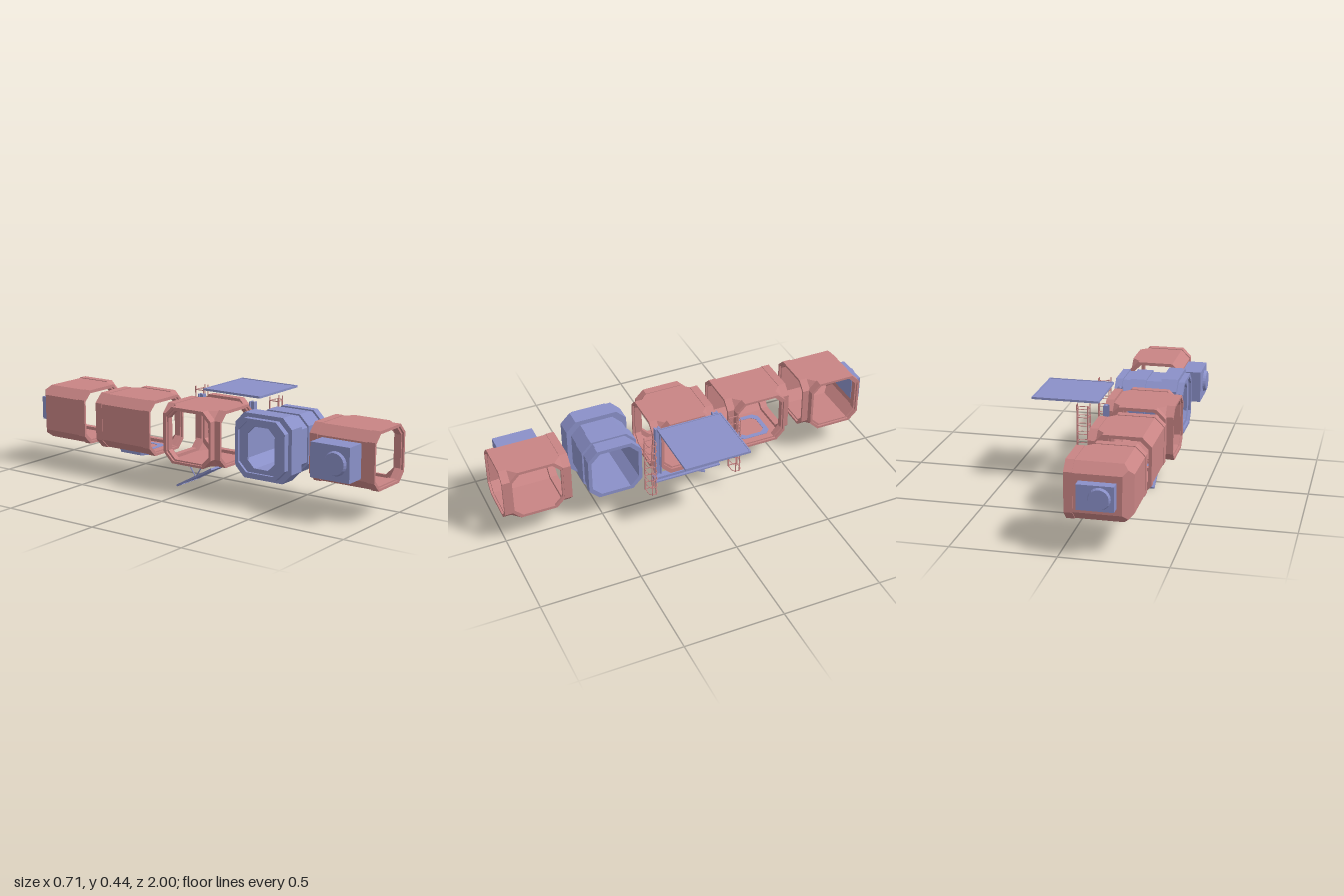
import * as THREE from 'three';
import { ConvexGeometry } from 'three/addons/geometries/ConvexGeometry.js';

const RED = new THREE.MeshStandardMaterial({ color: 0xc88484, flatShading: true, side: THREE.DoubleSide });
const BLUE = new THREE.MeshStandardMaterial({ color: 0x8a90c8, flatShading: true, side: THREE.DoubleSide });
const BLUE_FRONT = new THREE.MeshStandardMaterial({ color: 0x8a90c8, flatShading: true });
const MID = 0.284;   // height of the module axes
const H = 0.136;     // half size of a module body
const CUT = 0.045;   // corner cut
const TURN = { 'z+': 0, 'x+': Math.PI / 2, 'z-': Math.PI, 'x-': -Math.PI / 2 };

function add(parent, name, geo, mat, x = 0, y = 0, z = 0) {
  const m = new THREE.Mesh(geo, mat);
  m.name = name;
  m.position.set(x, y, z);
  parent.add(m);
  return m;
}
const box = (p, name, mat, w, h, d, x, y, z) => add(p, name, new THREE.BoxGeometry(w, h, d), mat, x, y, z);

// Rectangle outline with cut corners
function octagon(w, h, c, Type = THREE.Shape) {
  return new Type([[w, h - c], [w - c, h], [c - w, h], [-w, h - c], [-w, c - h], [c - w, -h], [w - c, -h], [w, c - h]]
    .map(([x, y]) => new THREE.Vector2(x, y)));
}
// Octagonal frame from z = 0 to z = depth
function ring(w, inner, depth, c = CUT, h = w, innerH = inner) {
  const s = octagon(w, h, c);
  s.holes.push(octagon(inner, innerH, c * 0.9, THREE.Path));
  return new THREE.ExtrudeGeometry(s, { depth, bevelEnabled: false });
}

// Cube with cut corners and bevelled closed edges, without its open sides
function shell(open) {
  const n = (x, y, z) => new THREE.Vector3(x, y, z);
  const planes = [];
  const closed = (x, z) => !open.includes(x ? (x > 0 ? 'x+' : 'x-') : (z > 0 ? 'z+' : 'z-'));
  for (const x of [-1, 0, 1]) for (const y of [-1, 0, 1]) for (const z of [-1, 0, 1]) {
    const k = Math.abs(x) + Math.abs(y) + Math.abs(z);
    if (k === 0) continue;
    if (k === 2 && ((x && !closed(x, 0)) || (z && !closed(0, z)))) continue;
    planes.push([n(x, y, z), k * H - (k > 1 ? CUT : 0)]);
  }
  const pts = [];
  for (let i = 0; i < planes.length; i++) for (let j = 0; j < i; j++) for (let k = 0; k < j; k++) {
    const [[a, da], [b, db], [c, dc]] = [planes[i], planes[j], planes[k]];
    const bc = b.clone().cross(c), det = a.dot(bc);
    if (Math.abs(det) < 1e-6) continue;
    const p = bc.multiplyScalar(da).add(c.clone().cross(a).multiplyScalar(db))
      .add(a.clone().cross(b).multiplyScalar(dc)).divideScalar(det);
    if (planes.every(([q, d]) => q.dot(p) < d + 1e-6) && !pts.some(q => q.distanceTo(p) < 1e-5)) pts.push(p);
  }
  const hull = new ConvexGeometry(pts).getAttribute('position');
  const kept = [], t = new THREE.Triangle(), nor = n(0, 0, 0);
  for (let i = 0; i < hull.count; i += 3) {
    t.setFromAttributeAndIndices(hull, i, i + 1, i + 2);
    t.getNormal(nor);
    const side = nor.x > 0.99 ? 'x+' : nor.x < -0.99 ? 'x-' : nor.z > 0.99 ? 'z+' : nor.z < -0.99 ? 'z-' : '';
    if (!open.includes(side)) kept.push(t.a.clone(), t.b.clone(), t.c.clone());
  }
  const g = new THREE.BufferGeometry().setFromPoints(kept);
  g.computeVertexNormals();
  return g;
}

// Habitat module with collars round its openings
function habitat(root, name, x, z, open, flush = '', tall = '') {
  const g = new THREE.Group();
  g.name = name;
  g.position.set(x, MID, z);
  root.add(g);
  add(g, 'moduleShell', shell(open), RED);
  for (const side of open) {
    const c = new THREE.Group();
    c.name = 'collar';
    c.rotation.y = TURN[side];
    g.add(c);
    if (side === flush) {
      add(c, 'openingFrame', ring(H, 0.122, 0.012), RED, 0, 0, H - 0.012);
      continue;
    }
    const hh = side === tall ? 0.15 : 0.139;
    add(c, 'collarRing', ring(0.138, 0.127, 0.04, CUT, hh, 0.127), RED, 0, 0, 0.131);
    add(c, 'collarLip', ring(0.13, 0.12, 0.03), RED, 0, 0, 0.131);
  }
  return g;
}

// Box with a round fan, pointing along +z
function fanUnit(root, w, h, d, r, shift, x, y, z, turn) {
  const g = new THREE.Group();
  g.name = 'fanUnit';
  g.position.set(x, y, z);
  g.rotation.y = turn;
  root.add(g);
  box(g, 'fanBox', BLUE, w, h, d, 0, 0, d / 2);
  add(g, 'fanDisc', new THREE.CylinderGeometry(r * 0.88, r, 0.016, 24), BLUE, shift, 0, d + 0.007).rotation.x = Math.PI / 2;
}

// Ladder with D-shaped hoops
function ladder(root, z) {
  const g = new THREE.Group();
  g.name = 'ladder';
  g.position.set(0.055, 0, z);
  root.add(g);
  const path = new THREE.CurvePath();
  const v = (x, zz) => new THREE.Vector3(x, 0, zz);
  path.add(new THREE.LineCurve3(v(0, -0.024), v(0.035, -0.024)));
  path.add(new THREE.CubicBezierCurve3(v(0.035, -0.024), v(0.067, -0.022), v(0.067, 0.022), v(0.035, 0.024)));
  path.add(new THREE.LineCurve3(v(0.035, 0.024), v(0, 0.024)));
  const hoop = new THREE.TubeGeometry(path, 18, 0.002, 5);
  for (let i = 0; i < 8; i++) {
    const y = 0.129 + i * 0.042;
    add(g, 'hoop', hoop, RED, 0, y, 0);
    box(g, 'rung', RED, 0.004, 0.004, 0.048, 0, y, 0);
  }
  for (const s of [-1, 1]) {
    box(g, 'rail', RED, 0.005, 0.317, 0.005, 0, 0.283, s * 0.024);
    box(g, 'cageBar', RED, 0.004, 0.317, 0.004, 0.058, 0.283, s * 0.01);
  }
}

// I-beam along z
function beam(parent, name, w, h, len) {
  const g = new THREE.Group();
  g.name = name;
  for (const s of [-1, 1]) box(g, 'flange', BLUE, w, 0.007, len, 0, s * (h / 2 - 0.0035), 0);
  box(g, 'web', BLUE, 0.009, h, len, 0, 0, 0);
  parent.add(g);
  return g;
}

// Flat panel with a raised rim
function rimmedPanel(parent, name, w, d, t) {
  const g = new THREE.Group();
  g.name = name;
  box(g, 'panel', BLUE, w, t * 0.5, d, 0, 0, 0);
  for (const s of [-1, 1]) {
    box(g, 'rim', BLUE, 0.007, t, d, s * (w / 2 - 0.0035), 0, 0);
    box(g, 'rim', BLUE, w, t, 0.007, 0, 0, s * (d / 2 - 0.0035));
  }
  parent.add(g);
  return g;
}

export function createModel() {
  const root = new THREE.Group();
  root.name = 'modularHabitat';

  // Four habitat modules
  habitat(root, 'frontModule', -0.104, 0.829, ['z+', 'z-', 'x+'], 'x+');
  habitat(root, 'crossModule', -0.173, 0.035, ['z+', 'z-', 'x+', 'x-'], '', 'x+');
  habitat(root, 'teeModule', -0.19, -0.38, ['z+', 'z-', 'x+']);
  habitat(root, 'cornerModule', -0.185, -0.802, ['z+', 'x+']);
  fanUnit(root, 0.205, 0.165, 0.103, 0.058, 0.03, -0.238, 0.284, 0.827, -Math.PI / 2);
  fanUnit(root, 0.17, 0.118, 0.05, 0.052, 0.02, -0.165, 0.284, -0.935, Math.PI);

  // Ribbed airlock tube along x
  const lock = new THREE.Group();
  lock.name = 'airlock';
  lock.position.set(0, 0.282, 0.435);
  root.add(lock);
  const ribs = [[-0.318, -0.288, 0.138], [-0.288, -0.203, 0.157], [-0.203, -0.12, 0.134],
    [-0.12, -0.037, 0.141], [-0.037, 0.003, 0.132], [0.003, 0.04, 0.139]];
  for (const [a, b, r] of ribs) {
    add(lock, 'tubeSection', ring(r, 0.121, b - a, 0.05), BLUE, a, 0, 0).rotation.y = Math.PI / 2;
  }
  add(lock, 'endWall', ring(0.124, 0.075, 0.012, 0.04, 0.124, 0.1), BLUE, -0.305, 0, 0).rotation.y = Math.PI / 2;
  add(lock, 'doorPanel', new THREE.PlaneGeometry(0.152, 0.202), BLUE_FRONT, -0.293, 0, 0).rotation.y = Math.PI / 2;

  // Floor beam and door posts of the cross module
  beam(root, 'floorBeam', 0.035, 0.032, 0.36).position.set(-0.0145, 0.116, 0.038);
  for (const z of [-0.12, 0.19]) {
    const post = beam(root, 'doorPost', 0.026, 0.03, 0.28);
    post.rotation.x = Math.PI / 2;
    post.position.set(-0.016, MID, z);
  }

  // Lowered ramp with its struts
  const ramp = rimmedPanel(root, 'ramp', 0.168, 0.24, 0.01);
  ramp.rotation.x = -0.5;
  ramp.position.set(-0.17, 0.063, 0.005);
  for (const x of [-0.257, -0.083]) for (const z of [-0.03, 0.07]) {
    const a = new THREE.Vector3(x, 0.145, z), b = new THREE.Vector3(x, 0.07, 0.02);
    add(root, 'rampStrut', new THREE.TubeGeometry(new THREE.LineCurve3(a, b), 1, 0.003, 6), BLUE);
  }

  // Floor hatch under the tee module
  const hatch = new THREE.Group();
  hatch.name = 'floorHatch';
  hatch.position.set(-0.17, 0.15, -0.385);
  hatch.rotation.x = Math.PI / 2;
  root.add(hatch);
  add(hatch, 'hatchFrame', ring(0.088, 0.065, 0.024, 0.025), BLUE);
  box(hatch, 'hatchPanel', BLUE, 0.14, 0.14, 0.01, 0, 0, 0.01);

  // Awning and ladders
  rimmedPanel(root, 'awning', 0.338, 0.34, 0.011).position.set(0.188, 0.4385, 0.035);
  ladder(root, 0.265);
  ladder(root, -0.187);
  return root;
}
